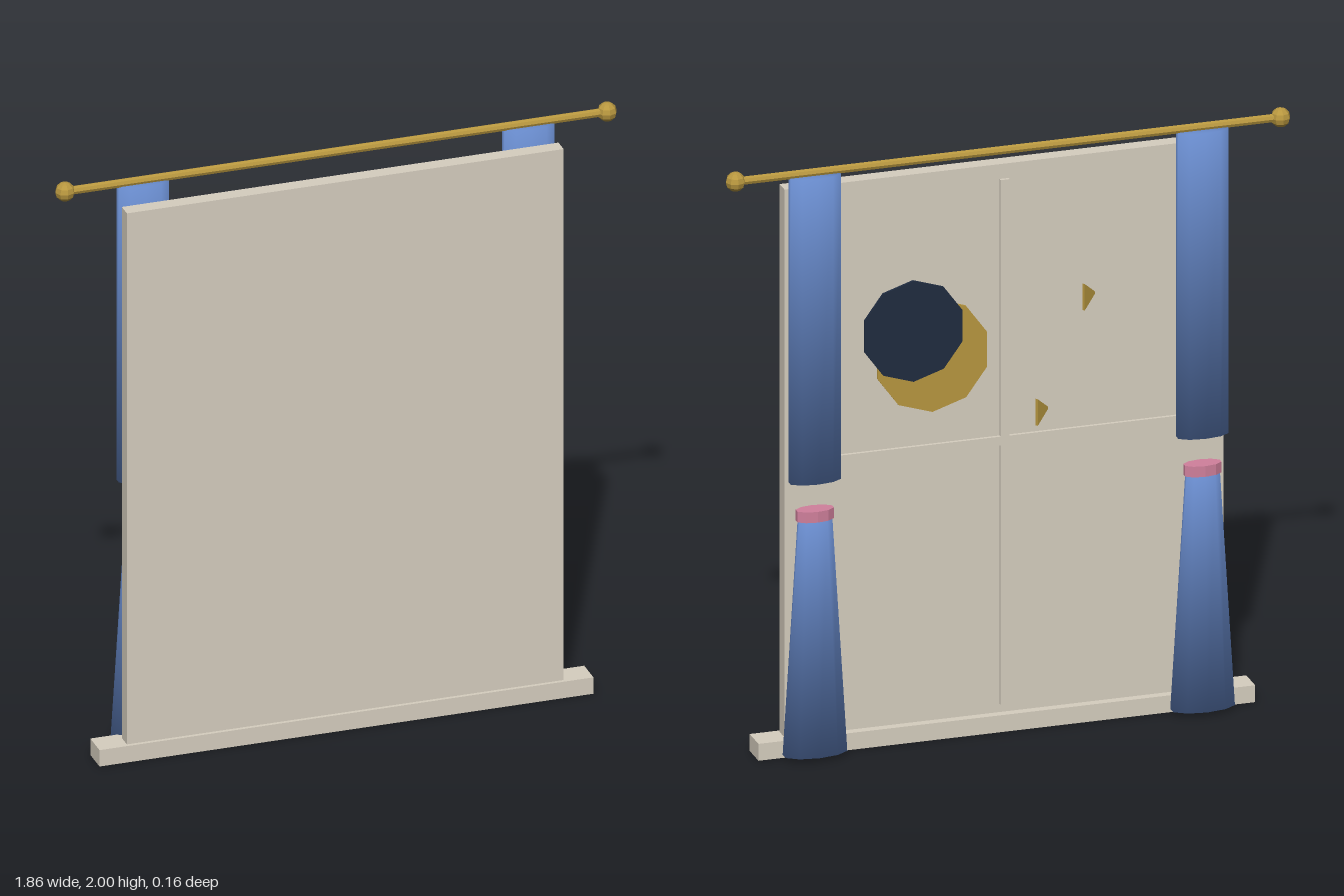
import * as THREE from 'three';

const mat = (name, color, flat = true) =>
  Object.assign(new THREE.MeshStandardMaterial({ color, flatShading: flat }), { name });

export function createModel() {
  const stone = mat('stone', 0xd6cebf);
  const cloth = mat('blueCloth', 0x6688c8, false);
  const brass = mat('brass', 0xb8973f);
  const night = mat('nightBlue', 0x202c40);
  const pink = mat('pinkTie', 0xd0809c);

  const model = new THREE.Group();
  model.name = 'curtainedWindow';

  const add = (name, geometry, material, x, y, z) => {
    const mesh = new THREE.Mesh(geometry, material);
    mesh.name = name;
    mesh.position.set(x, y, z);
    model.add(mesh);
    return mesh;
  };
  const box = (name, w, h, d, x, y, z) =>
    add(name, new THREE.BoxGeometry(w, h, d), stone, x, y, z);

  // Oval tapered column; soft columns get normals rounded over the rims
  const column = (rxTop, rxBottom, depthRatio, height, soft) => {
    const g = new THREE.CylinderGeometry(rxTop, rxBottom, height, 10);
    g.scale(1, 1, depthRatio);
    if (!soft) return g;
    const p = g.attributes.position;
    const n = new THREE.Vector3();
    for (let i = 0; i < p.count; i++) {
      n.set(p.getX(i), 0, p.getZ(i) / depthRatio ** 2);
      if (n.length() > 1e-5) n.normalize();
      n.y = Math.sign(p.getY(i)) * 0.8;
      n.normalize();
      g.attributes.normal.setXYZ(i, n.x, n.y, n.z);
    }
    return g;
  };

  // Window panel, sill and glazing bars
  box('panel', 1.45, 1.85, 0.05, 0, 0.98, 0.043);
  box('sill', 1.64, 0.057, 0.09, 0, 0.0285, 0.035);
  box('verticalBar', 0.03, 1.77, 0.012, 0, 0.97, 0.013);
  box('horizontalBar', 1.38, 0.03, 0.012, 0, 0.975, 0.013);

  // Crescent: a gold disc partly covered by a dark one
  const disc = (name, r, material, x, y, z) => {
    const g = new THREE.CylinderGeometry(r, r, 0.009, 10);
    g.rotateX(Math.PI / 2);
    add(name, g, material, x, y, z);
  };
  disc('moonDisc', 0.19, brass, 0.24, 1.29, 0.0125);
  disc('moonShadowDisc', 0.17, night, 0.305, 1.383, 0.003);

  // Small tilted three-sided stars
  for (const [x, y] of [[-0.27, 1.434], [-0.115, 1.064]]) {
    const g = new THREE.CylinderGeometry(0.045, 0.045, 0.009, 3);
    g.scale(1.15, 1, 0.85);
    g.rotateX(Math.PI / 2);
    g.rotateZ(-Math.PI / 2);
    g.rotateY(0.6);
    add('star', g, brass, x, y, 0.003);
  }

  // Curtain rod
  const rod = new THREE.CylinderGeometry(0.014, 0.014, 1.8, 8);
  rod.rotateZ(Math.PI / 2);
  add('rod', rod, brass, 0, 1.968, -0.022);

  // Mirrored curtains, ties and rod ends
  for (const s of [1, -1]) {
    add('rodEnd', new THREE.SphereGeometry(0.032, 8, 6), brass, s * 0.9, 1.968, -0.022);
    add('upperCurtain', column(0.087, 0.087, 0.43, 1.03, true), cloth, s * 0.64, 1.445, -0.027);
    add('lowerCurtain', column(0.057, 0.107, 0.47, 0.8, true), cloth, s * 0.64, 0.413, -0.03);
    add('curtainTie', column(0.063, 0.063, 0.5, 0.036, false), pink, s * 0.64, 0.818, -0.028);
  }
  return model;
}
